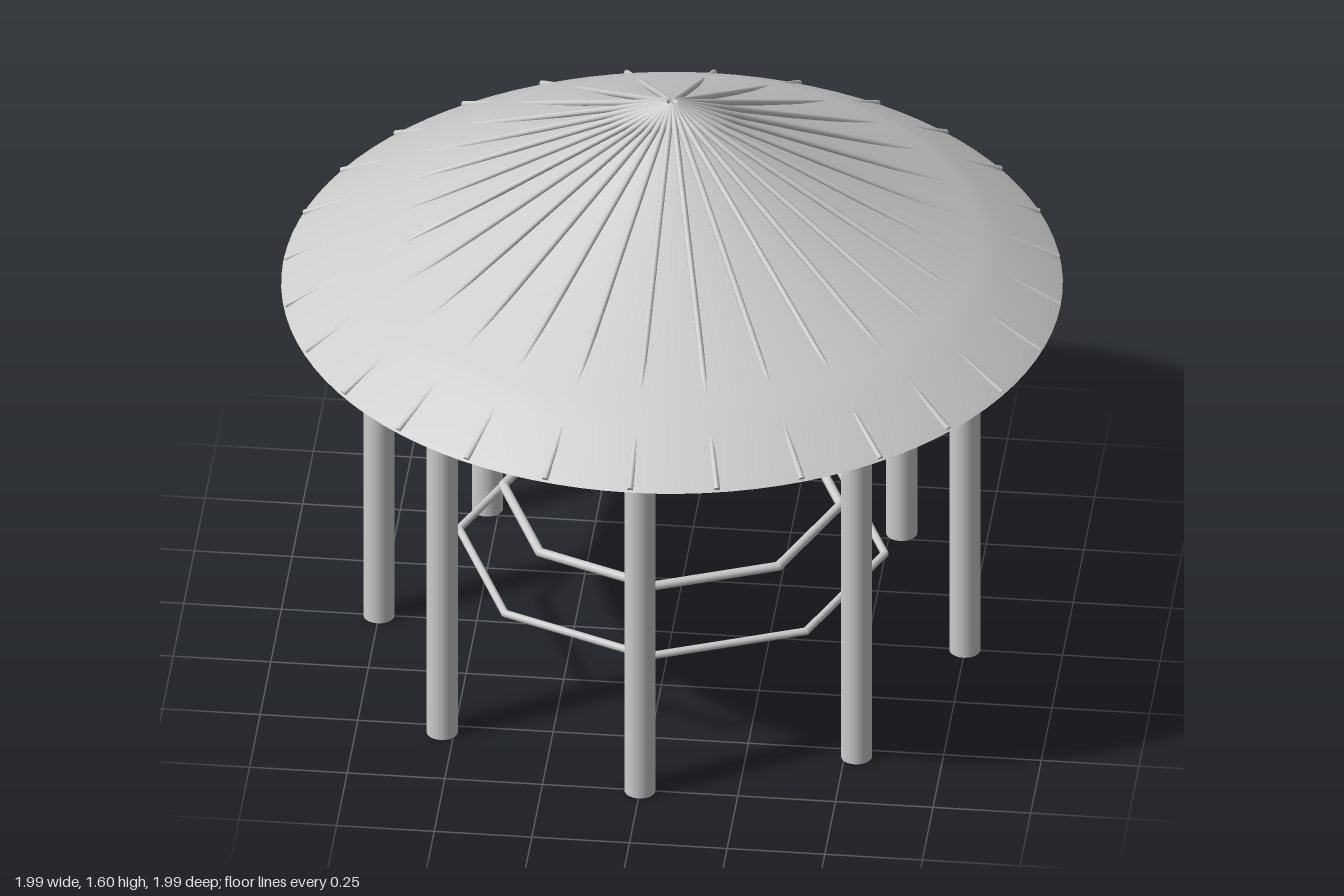
import * as THREE from 'three';

const wood = new THREE.MeshStandardMaterial({ color: 0xcccccc });
wood.name = 'paleGrey';
const roofSkin = new THREE.MeshStandardMaterial({ color: 0xcccccc, side: THREE.DoubleSide });
roofSkin.name = 'paleGreyRoof';

// Point at radius r, height y, angle a around the vertical axis
const polar = (r, y, a) => new THREE.Vector3(r * Math.sin(a), y, r * Math.cos(a));

// Round pole between two points
function pole(name, from, to, radius, sides = 16) {
  const dir = to.clone().sub(from);
  const mesh = new THREE.Mesh(new THREE.CylinderGeometry(radius, radius, dir.length(), sides), wood);
  mesh.name = name;
  mesh.position.copy(from).add(to).multiplyScalar(0.5);
  mesh.quaternion.setFromUnitVectors(new THREE.Vector3(0, 1, 0), dir.normalize());
  return mesh;
}

// Octagonal ring of poles with rounded corners
function ring(name, r, y, radius) {
  const group = new THREE.Group();
  group.name = name;
  for (let i = 0; i < 8; i++) {
    const a = (i * Math.PI) / 4;
    group.add(pole(name + 'Segment', polar(r, y, a), polar(r, y, a + Math.PI / 4), radius));
    const joint = new THREE.Mesh(new THREE.SphereGeometry(radius, 12, 8), wood);
    joint.name = name + 'Joint';
    joint.position.copy(polar(r, y, a));
    group.add(joint);
  }
  return group;
}

export function createModel() {
  const model = new THREE.Group();
  model.name = 'pavilion';

  // Posts with a brace leaning inward from each
  for (let i = 0; i < 8; i++) {
    const a = (i * Math.PI) / 4;
    model.add(pole('post', polar(0.75, 0, a), polar(0.75, 1.09, a), 0.04, 24));
    model.add(pole('brace', polar(0.59, 0.855, a), polar(0.73, 1.08, a), 0.018));
  }

  // Top beams, seat rail and lower rail
  model.add(ring('ringBeam', 0.75, 1.085, 0.028));
  model.add(ring('upperRail', 0.432, 0.415, 0.012));
  model.add(ring('lowerRail', 0.545, 0.275, 0.01));

  // King post under the peak
  model.add(pole('kingPost', polar(0, 1.1, 0), polar(0, 1.56, 0), 0.027));

  // Gently swelling roof skin, from rim to peak
  const profile = [
    [0.995, 1.055], [0.96, 1.079], [0.9, 1.116], [0.84, 1.153], [0.78, 1.187],
    [0.6, 1.273], [0.3, 1.427], [0.1, 1.54], [0, 1.6],
  ].map(([x, y]) => new THREE.Vector2(x, y));
  const roof = new THREE.Mesh(new THREE.LatheGeometry(profile, 96), roofSkin);
  roof.name = 'roof';
  model.add(roof);

  // Straight rafters that dip under the swelling near the rim
  const rafters = new THREE.Group();
  rafters.name = 'rafters';
  for (let i = 0; i < 28; i++) {
    const a = (i * Math.PI * 2) / 28;
    rafters.add(pole('rafter', polar(0.01, 1.597, a), polar(0.99, 1.061, a), 0.008, 10));
  }
  model.add(rafters);

  return model;
}
